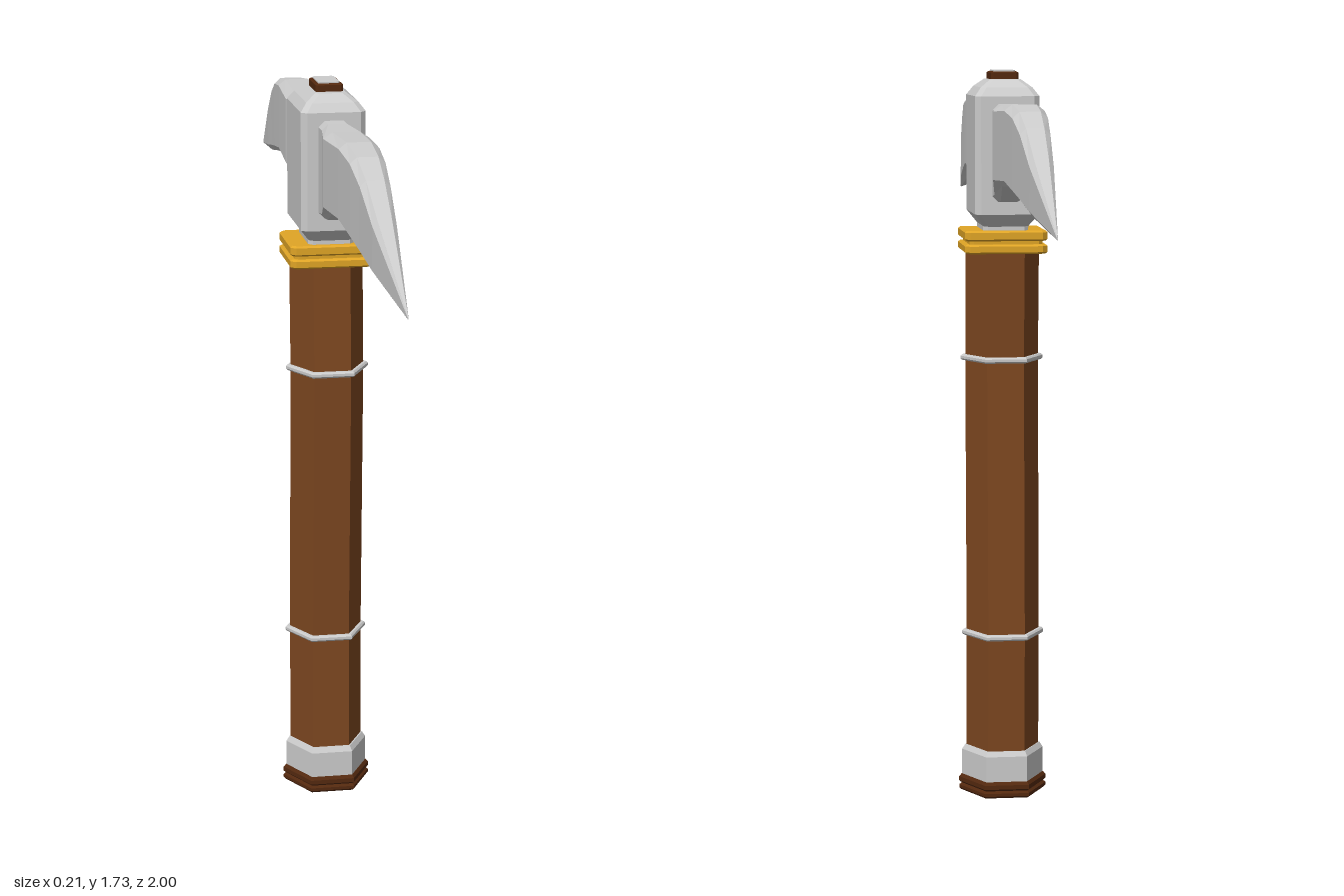
import * as THREE from 'three';

const material = (color) => new THREE.MeshStandardMaterial({ color, flatShading: true });

function addMesh(parent, name, geometry, mat) {
  const mesh = new THREE.Mesh(geometry, mat);
  mesh.name = name;
  parent.add(mesh);
  return mesh;
}

// Rectangle with chamfered corners, counter-clockwise, as [u, v] pairs
function chamferedRect(hu, hv, cu, cv = cu) {
  return [
    [hu, -hv + cv], [hu, hv - cv], [hu - cu, hv], [-hu + cu, hv],
    [-hu, hv - cv], [-hu, -hv + cv], [-hu + cu, -hv], [hu - cu, -hv],
  ];
}

// Skin a list of equal-length rings and close both ends
function loft(rings) {
  const n = rings[0].length;
  const positions = rings.flat(2);
  const index = [];
  for (let r = 0; r < rings.length - 1; r++) {
    for (let i = 0; i < n; i++) {
      const a = r * n + i, b = r * n + (i + 1) % n;
      index.push(a, b, b + n, a, b + n, a + n);
    }
  }
  const last = (rings.length - 1) * n;
  for (let i = 1; i < n - 1; i++) {
    index.push(0, i + 1, i, last, last + i, last + i + 1);
  }
  const geometry = new THREE.BufferGeometry();
  geometry.setAttribute('position', new THREE.Float32BufferAttribute(positions, 3));
  geometry.setIndex(index);
  geometry.computeVertexNormals();
  return geometry;
}

// Upright block from levels of [y, half x, half z, chamfer]
function block(levels) {
  return loft(levels.map(([y, hx, hz, c]) =>
    chamferedRect(hz, hx, c).map(([z, x]) => [x, y, z])));
}

// Six-sided turned part from [radius, y] points, a corner on each side
function hexTurned(profile) {
  const points = profile.map(([r, y]) => new THREE.Vector2(r, y));
  return new THREE.LatheGeometry(points, 6, Math.PI / 2).scale(1, 1, 1.1);
}

// Blade stations: [z, top y, bottom y, half width]
const BLADE = [
  [0.08, 1.65, 1.42, 0.036],
  [0.16, 1.65, 1.43, 0.036],
  [0.275, 1.652, 1.47, 0.052],
  [0.435, 1.658, 1.476, 0.045],
  [0.54, 1.645, 1.461, 0.039],
  [0.63, 1.612, 1.447, 0.033],
  [0.74, 1.55, 1.428, 0.026],
  [1.0, 1.404, 1.4, 0.001],
];

function bladeGeometry() {
  return loft(BLADE.map(([z, top, bottom, w]) => {
    const mid = (top + bottom) / 2, h = (top - bottom) / 2;
    return chamferedRect(w, h, w * 0.4, Math.min(0.014, h * 0.4))
      .map(([x, y]) => [x, mid + y, z]);
  }));
}

export function createModel() {
  const model = new THREE.Group();
  model.name = 'pickaxe';
  const steel = material(0xcccccc);
  const wood = material(0x7d4720);
  const darkWood = material(0x54290f);
  const gold = material(0xe0a526);

  // Handle: hexagonal shaft with a gentle bend in z
  const bend = [[0.05, 0], [0.39, -0.008], [1.05, 0.016], [1.32, 0]];
  const shaft = hexTurned([[0, 0.05], ...bend.map(([y]) => [0.087, y]), [0, 1.32]]);
  const pos = shaft.attributes.position;
  for (let i = 0; i < pos.count; i++) {
    const station = bend.find(([y]) => Math.abs(y - pos.getY(i)) < 1e-4);
    pos.setZ(i, pos.getZ(i) + station[1]);
  }
  addMesh(model, 'handle', shaft, wood);

  // Steel bands around the bends
  for (const [name, y, z] of [['lowerBand', 0.39, -0.008], ['upperBand', 1.05, 0.016]]) {
    const band = hexTurned([[0.08, -0.007], [0.094, -0.007], [0.098, -0.003],
      [0.098, 0.003], [0.094, 0.007], [0.08, 0.007]]);
    addMesh(model, name, band, steel).position.set(0, y, z);
  }

  // Pommel: steel ferrule over a ridged wooden end
  addMesh(model, 'ferrule', hexTurned([[0, 0.035], [0.098, 0.035], [0.098, 0.1],
    [0.09, 0.112], [0, 0.112]]), steel);
  addMesh(model, 'pommel', hexTurned([[0, 0], [0.1, 0], [0.105, 0.005], [0.105, 0.012],
    [0.099, 0.017], [0.105, 0.022], [0.105, 0.032], [0.099, 0.039], [0, 0.039]]), darkWood);

  // Gold collar: two stacked plates joined by a narrower core
  addMesh(model, 'collarCore', block([[1.305, 0.086, 0.086, 0.01], [1.35, 0.086, 0.086, 0.01]]), gold);
  for (const [name, y0, y1] of [['collarLowerPlate', 1.302, 1.324], ['collarUpperPlate', 1.332, 1.356]]) {
    addMesh(model, name, block([
      [y0, 0.092, 0.091, 0.01], [y0 + 0.004, 0.097, 0.096, 0.012],
      [y1 - 0.004, 0.097, 0.096, 0.012], [y1, 0.092, 0.091, 0.01],
    ]), gold);
  }

  // Head: neck, bevelled block and the handle end wedged through the top
  addMesh(model, 'neck', block([[1.35, 0.053, 0.08, 0.01], [1.38, 0.053, 0.08, 0.01]]), steel);
  addMesh(model, 'headBlock', block([
    [1.365, 0.052, 0.08, 0.01], [1.395, 0.075, 0.115, 0.013],
    [1.668, 0.075, 0.115, 0.013], [1.688, 0.06, 0.1, 0.012], [1.706, 0.036, 0.075, 0.01],
  ]), steel);
  addMesh(model, 'handleEnd', block([[1.69, 0.032, 0.052, 0.005], [1.721, 0.032, 0.052, 0.005],
    [1.724, 0.028, 0.048, 0.005]]), darkWood);
  addMesh(model, 'wedge', block([[1.71, 0.025, 0.044, 0.004], [1.727, 0.025, 0.044, 0.004]]), steel);

  // Two matching blades
  addMesh(model, 'frontBlade', bladeGeometry(), steel);
  addMesh(model, 'backBlade', bladeGeometry(), steel).rotation.y = Math.PI;

  return model;
}
